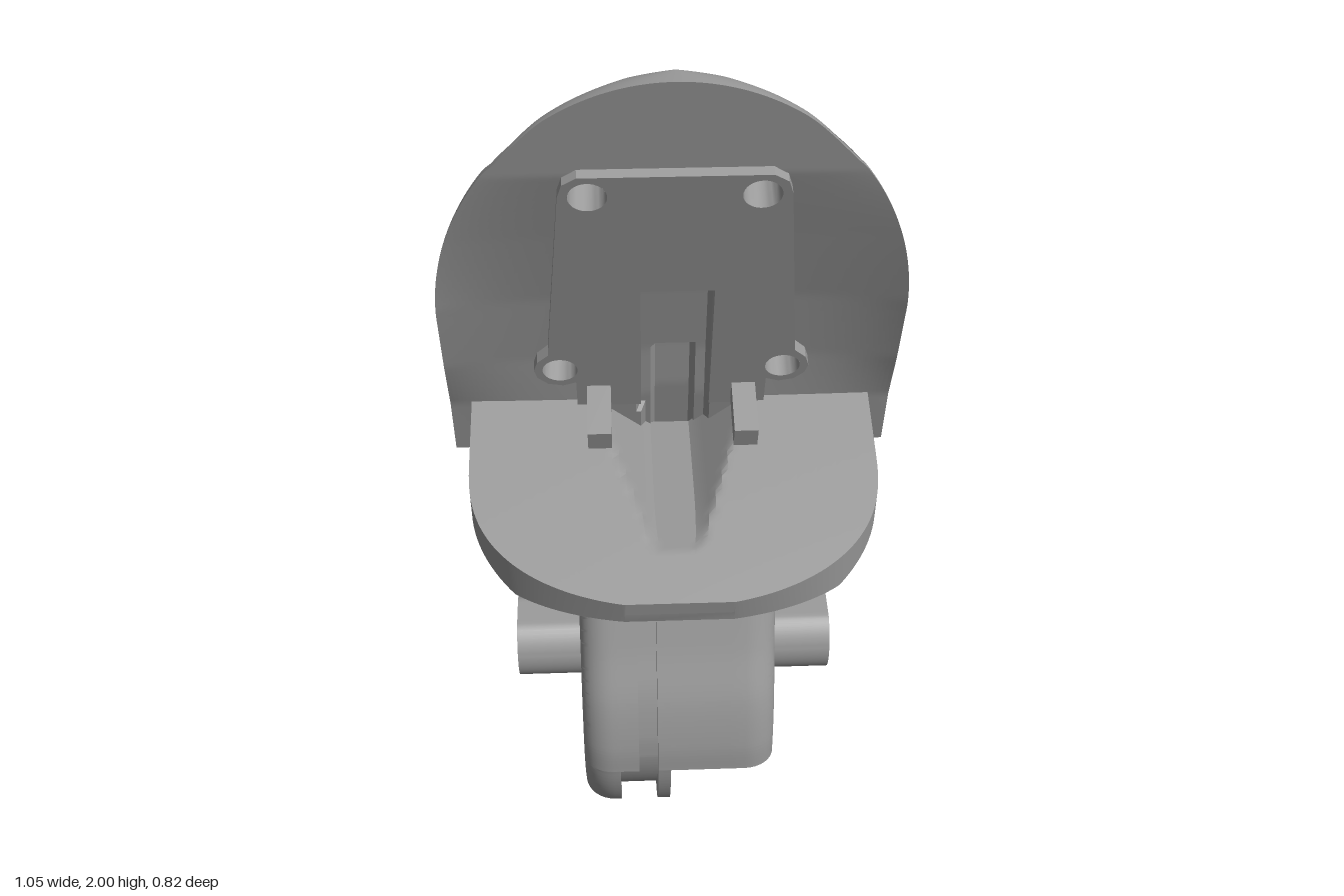
import * as THREE from 'three';
import { toCreasedNormals } from 'three/addons/utils/BufferGeometryUtils.js';

const grey = new THREE.MeshStandardMaterial({ color: 0x999999, side: THREE.DoubleSide });
grey.name = 'grey';

// Pad frame: the bores run along (0, S, -C)
const TILT = 0.346, C = Math.cos(TILT), S = Math.sin(TILT), PAD_T = 0.46;
const HOLES = [-1, 1].flatMap(s => [[s * 0.175, 1.679], [s * 0.255, 1.094]]);
const { clamp, lerp, smoothstep } = THREE.MathUtils;

// Piecewise linear lookup in [key, value] pairs
function lookup(table, k) {
  if (k <= table[0][0]) return table[0][1];
  for (let i = 1; i < table.length; i++) {
    const [a, va] = table[i - 1], [b, vb] = table[i];
    if (k <= b) return va + (vb - va) * (k - a) / (b - a);
  }
  return table[table.length - 1][1];
}

// Shell rules: half width, depth of back, front and side edge, cylindrical underside
const BACK = [[0.77, -0.4], [0.8, -0.412], [0.83, -0.41], [0.9, -0.395], [1.05, -0.357], [1.15, -0.325],
  [1.25, -0.285], [1.34, -0.24], [1.42, -0.195], [1.94, 0.072], [1.98, 0.1], [2, 0.13]];
const FRONT = [[0.88, -0.18], [1.05, -0.125], [1.2, -0.09], [1.4, -0.025], [1.6, 0.055], [1.78, 0.13], [2, 0.185]];
const EDGE = [[0.88, -0.18], [1.05, -0.13], [1.2, -0.06], [1.4, 0.015], [1.6, 0.075], [1.78, 0.13], [2, 0.185]];
const ROUNDING = [[1.2, 4], [1.6, 2.3]];
const halfWidth = y => y > 1.35 ? 0.515 * Math.sqrt(Math.max(0, 1 - ((y - 1.35) / 0.65) ** 2))
  : lookup([[0.77, 0.48], [0.84, 0.525], [1.35, 0.515]], y);
const frontAt = (u, y) => lerp(lookup(FRONT, y), lookup(EDGE, y), u ** 4);
const backAt = (u, y) => {
  const n = lookup(ROUNDING, y);
  return lerp(lookup(EDGE, y), lookup(BACK, y), Math.max(0, 1 - Math.abs(u) ** n) ** (1 / n));
};
const underside = z => 0.35 + Math.sqrt(0.3136 - z * z);

// Shallow steps: the nail outline on the back, the two slots on the front
const nailStep = (x, y) => {
  const a = Math.abs(x), low = 1.42 + Math.max(0, a - 0.2) ** 2 * 3;
  return 0.02 * smoothstep(a, 0.25, 0.34) * (1 - smoothstep(a, 0.35, 0.385)) * smoothstep(y, low, low + 0.03);
};
const slotStep = (x, y) => (y < 1.45 && x > -0.07 && x < 0.09 ? -0.03 : 0)
  + (y < 1.21 && x > -0.045 && x < 0.05 ? -0.04 : 0);

// Point where a bore line (x, p) meets a shell surface
function pierce(x, p, surf) {
  let lo = 0.2, hi = 0.9;
  for (let i = 0; i < 30; i++) {
    const t = (lo + hi) / 2, y = p * C + t * S, z = p * S - t * C;
    const u = clamp(x / Math.max(halfWidth(y), 1e-4), -1, 1);
    if (z > surf(u, y)) lo = t; else hi = t;
  }
  return [x, p * C + lo * S, p * S - lo * C];
}

// Surface from a rule on a grid; cells whose corners are all cut away are left open
function grid(nu, nv, rule, flip = false) {
  const pos = [], cut = [], idx = [];
  for (let j = 0; j <= nv; j++) for (let i = 0; i <= nu; i++) {
    const p = rule(i, j);
    pos.push(p[0], p[1], p[2]);
    cut.push(p[3] === true);
  }
  const tri = (a, b, c) => {
    if (!(cut[a] && cut[b] && cut[c])) idx.push(a, flip ? c : b, flip ? b : c);
  };
  for (let j = 0; j < nv; j++) for (let i = 0; i < nu; i++) {
    const a = j * (nu + 1) + i, d = a + nu + 1;
    tri(a, a + 1, d + 1);
    tri(a, d + 1, d);
  }
  const g = new THREE.BufferGeometry();
  g.setAttribute('position', new THREE.Float32BufferAttribute(pos, 3));
  g.setIndex(idx);
  g.computeVertexNormals();
  return g;
}

function add(parent, geo, name) {
  const m = new THREE.Mesh(geo, grey);
  m.name = name;
  parent.add(m);
  return m;
}

// Slab with a (z, y) outline between two x positions
function slab(shape, x0, x1) {
  const g = new THREE.ExtrudeGeometry(shape, { depth: x1 - x0, bevelEnabled: false, curveSegments: 40 });
  g.rotateY(-Math.PI / 2).translate(x1, 0, 0);
  return toCreasedNormals(g, 0.5);
}

// Slab whose outer edge is rounded over
function roundedSlab(shape, inner, outer) {
  const ring = shape.getPoints(40), dir = Math.sign(outer - inner), rows = [[outer, 0]];
  for (let k = 8; k >= 0; k--) {
    const b = k / 8 * Math.PI / 2;
    rows.push([outer - dir * 0.07 * (1 - Math.sin(b)), 1 - 0.13 * (1 - Math.cos(b))]);
  }
  rows.push([inner, 1], [inner, 0]);
  const g = grid(ring.length, rows.length - 1, (i, j) => {
    const p = ring[i % ring.length], [x, k] = rows[j];
    return [x, 0.41 + (p.y - 0.41) * k, p.x * k];
  }, dir < 0);
  return toCreasedNormals(g, 0.5);
}

// Hinge outline: shared shoulders, with a lower edge that differs by part
function hingeShape(lower, rear = [[-0.4, 0.29], [-0.41, 0.41], [-0.393, 0.52]]) {
  const s = new THREE.Shape();
  s.moveTo(...rear[0]);
  s.splineThru([...rear.slice(1), [-0.365, 0.65], [-0.34, 0.78]].map(p => new THREE.Vector2(...p)));
  for (const p of [[-0.25, 0.88], [-0.1, 0.92], [0.1, 0.92], [0.25, 0.88], [0.3, 0.83]]) s.lineTo(...p);
  s.splineThru([[0.345, 0.68], [0.39, 0.55], [0.41, 0.43], [0.41, 0.35]].map(p => new THREE.Vector2(...p)));
  lower(s);
  s.closePath();
  return s;
}

export function createModel() {
  const model = new THREE.Group();
  model.name = 'hingedShield';
  const NU = 140, NV = 130;

  // Shield shell: front and back skins with snapped bore openings
  const shield = new THREE.Group();
  shield.name = 'shield';
  model.add(shield);
  const skin = (surf, step, radius) => (i, j) => {
    const u = Math.sin((i / NU - 0.5) * Math.PI);
    const y = 0.77 + 1.23 * Math.sin(j / NV * Math.PI / 2);
    const x = u * halfWidth(y), z = surf(u, y), p = y * C + z * S;
    for (const [hx, hp] of HOLES) {
      const dx = x - hx, dp = p - hp, d = Math.hypot(dx, dp);
      if (d < radius) {
        const k = radius / Math.max(d, 1e-6);
        return [...pierce(hx + dx * k, hp + dp * k, surf), true];
      }
    }
    return [x, Math.max(y, underside(z)), z + step(x, y)];
  };
  add(shield, toCreasedNormals(grid(NU, NV, skin(frontAt, slotStep, 0.045)), 0.5), 'shieldFront');
  add(shield, grid(NU, NV, skin(backAt, nailStep, 0.075), true), 'shieldBack');
  add(shield, grid(NU, 8, (i, j) => {
    const u = Math.sin((i / NU - 0.5) * Math.PI), x = u * halfWidth(0.77);
    const z = lerp(backAt(u, 0.77), frontAt(u, 0.77), j / 8);
    return [x, Math.max(0.77, underside(z)), z];
  }), 'shieldUnderside');

  // Counterbored screw holes
  for (const [hx, hp] of HOLES) {
    const rings = [[0.04, PAD_T], [0.04, 0.56], [0.075, 0.56], [0.075, null]];
    const bore = grid(32, 3, (i, j) => {
      const a = i / 32 * Math.PI * 2, [r, t] = rings[j];
      const x = hx + r * Math.cos(a), p = hp + r * Math.sin(a);
      return t === null ? pierce(x, p, backAt) : [x, p * C + t * S, p * S - t * C];
    });
    add(shield, toCreasedNormals(bore, 0.6), 'screwHole');
  }

  // Raised mounting pad with slot, and two small tabs
  const pad = new THREE.Group();
  pad.name = 'pad';
  pad.rotation.x = TILT;
  model.add(pad);
  const side = [[0.09, 0.95], [0.22, 0.95], [0.22, 1.045], [0.25, 1.034], [0.285, 1.042], [0.308, 1.066],
    [0.315, 1.094], [0.306, 1.125], [0.28, 1.152], [0.235, 1.68], [0.225, 1.715], [0.195, 1.735]];
  const mirrored = side.map(([x, y]) => [x === 0.09 ? -0.07 : -x, y]).reverse();
  const outline = [[0.09, 1.376], ...side, ...mirrored, [-0.07, 1.376]];
  const padShape = new THREE.Shape(outline.map(p => new THREE.Vector2(...p)));
  for (const [x, p] of HOLES) padShape.holes.push(new THREE.Path().absarc(x, p, 0.04, 0, Math.PI * 2, true));
  const plate = new THREE.ExtrudeGeometry(padShape, { depth: 0.05, bevelEnabled: false, curveSegments: 32 });
  add(pad, plate.translate(0, 0, -PAD_T - 0.05), 'mountingPad');
  for (const s of [-1, 1]) {
    const tab = add(pad, new THREE.BoxGeometry(0.055, 0.06, 0.15), 'tab');
    tab.position.set(s * 0.168, 1.0, -0.4);
  }

  // Front shelf: sloping top with a flared channel, cylindrical underside
  const NT = 60, NZ = 50;
  const shelf = grid(NT + 3, NZ + 1, (i, j) => {
    const z = -0.2 + 0.61 * Math.sin(Math.min(1, j / NZ) * Math.PI / 2);
    const hw = 0.47 * Math.sqrt(1 - (Math.max(0, z - 0.05) / 0.37) ** 2.5);
    const k = i <= NT ? 1 - 2 * i / NT : (i === NT + 1 ? -1 : 1);
    const x = hw * k, plane = 1.019 - 0.315 * z;
    const top = Math.min(plane, 0.93 + Math.max(0, Math.abs(x) - 0.05));
    if (j > NZ) return [x, 0.85, z - 0.01];
    if (i <= NT || i === NT + 3) return [x, top, z];
    return [x, Math.max(0.82, underside(z)), z - 0.05 * Math.max(0, z)];
  }, true);
  add(model, toCreasedNormals(shelf, 0.4), 'shelf');

  // Hinge body: rounded cheek with a round lug, slotted middle and grooved disc
  const hinge = new THREE.Group();
  hinge.name = 'hinge';
  model.add(hinge);
  const upper = hingeShape(s => { s.lineTo(0.3, 0.36); s.lineTo(-0.3, 0.32); });
  const middle = hingeShape(s => { s.lineTo(0.2, 0.34); s.lineTo(-0.2, 0.34); s.lineTo(-0.25, 0.5); },
    [[-0.396, 0.5], [-0.388, 0.55]]);
  const disc = hingeShape(s => {
    s.absarc(0, 0.41, 0.414, -0.15, -1.4, true);
    s.lineTo(-0.22, 0.065); s.lineTo(-0.3, 0.135); s.lineTo(-0.36, 0.21);
  });
  const core = new THREE.Shape(disc.getPoints(40).map(p => new THREE.Vector2(p.x * 0.9, 0.41 + (p.y - 0.41) * 0.9)));
  const lug = new THREE.Shape().absarc(0, 0.415, 0.31, 0, Math.PI * 2);
  add(hinge, roundedSlab(upper, 0.12, 0.225), 'hingeCheek');
  add(hinge, slab(lug, 0.12, 0.225), 'hingeLug');
  add(hinge, slab(middle, -0.02, 0.12), 'hingeMiddle');
  add(hinge, slab(disc, -0.05, -0.02), 'discFlange');
  add(hinge, slab(core, -0.14, -0.05), 'grooveCore');
  add(hinge, slab(upper, -0.14, -0.095), 'grooveShoulder');
  add(hinge, roundedSlab(disc, -0.14, -0.225), 'outerDisc');

  // Axle with two flats
  const axle = [];
  for (let i = 0; i < 64; i++) {
    const a = i / 64 * Math.PI * 2, h = clamp(0.1 * Math.sin(a), -0.09, 0.09), w = 0.1 * Math.cos(a);
    axle.push(new THREE.Vector2(w * 0.993 + h * 0.12, 0.413 + h * 0.993 - w * 0.12));
  }
  add(hinge, slab(new THREE.Shape(axle), -0.39, 0.39), 'axle');

  return model;
}
